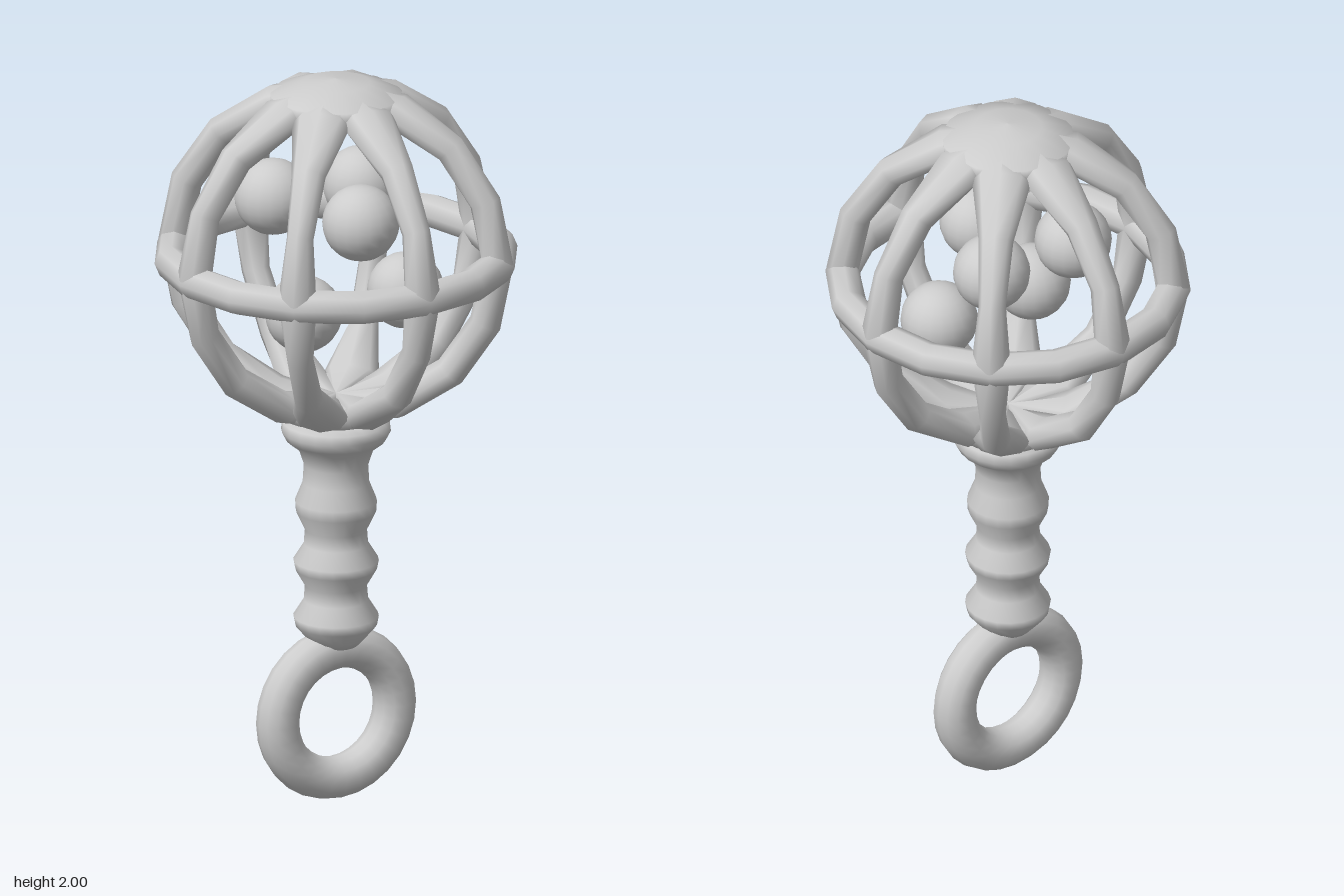
import * as THREE from 'three';

const CAGE_Y = 1.52, CAGE_R = 0.437, RIB_T = 0.043;

// Rib from pole to pole: elliptical sections whose half-width flares at the poles
function ribGeometry() {
  const widths = [0.005, 0.078, 0.046, 0.036, 0.052, 0.036, 0.04, 0.076, 0.005];
  const sides = 8, pos = [], index = [];
  widths.forEach((w, i) => {
    const th = (i / (widths.length - 1)) * Math.PI;
    for (let j = 0; j < sides; j++) {
      const a = (j / sides) * Math.PI * 2;
      const r = CAGE_R + RIB_T * Math.cos(a);
      pos.push(r * Math.sin(th), r * Math.cos(th), w * Math.sin(a));
    }
  });
  for (let i = 0; i < widths.length - 1; i++) {
    for (let j = 0; j < sides; j++) {
      const k = (j + 1) % sides;
      const a = i * sides + j, b = i * sides + k;
      index.push(a, b, b + sides, a, b + sides, a + sides);
    }
  }
  const g = new THREE.BufferGeometry();
  g.setAttribute('position', new THREE.Float32BufferAttribute(pos, 3));
  g.setIndex(index);
  g.computeVertexNormals();
  return g;
}

// Thick spherical cap that joins the ribs at a pole
function capGeometry(angle) {
  const p = (r, t) => new THREE.Vector2(r * Math.sin(t), r * Math.cos(t));
  const inner = CAGE_R - RIB_T + 0.01, outer = CAGE_R + RIB_T;
  return new THREE.LatheGeometry([
    p(inner, 0), p(inner, angle * 0.5), p(inner + 0.01, angle),
    p(CAGE_R, angle * 1.08), p(outer - 0.008, angle),
    p(outer - 0.002, angle * 0.5), p(outer, 0),
  ], 16);
}

export function createModel() {
  const model = new THREE.Group();
  model.name = 'rattle';
  const grey = new THREE.MeshStandardMaterial({ color: 0xcccccc });
  grey.name = 'light grey';

  const add = (parent, name, geometry, x = 0, y = 0, z = 0) => {
    const mesh = new THREE.Mesh(geometry, grey);
    mesh.name = name;
    mesh.position.set(x, y, z);
    parent.add(mesh);
    return mesh;
  };

  // Grip ring
  add(model, 'gripRing', new THREE.TorusGeometry(0.18, 0.057, 12, 28), 0, 0.24, 0);

  // Handle with three beads and a collar
  const profile = [
    [0, 0.425], [0.06, 0.43], [0.078, 0.45], [0.108, 0.485], [0.113, 0.51],
    [0.085, 0.555], [0.082, 0.595], [0.108, 0.64], [0.113, 0.665],
    [0.085, 0.71], [0.082, 0.75], [0.106, 0.8], [0.108, 0.83],
    [0.088, 0.88], [0.085, 0.93], [0.1, 0.975], [0.132, 1.0],
    [0.145, 1.025], [0.142, 1.05], [0.12, 1.062], [0, 1.07],
  ].map(([r, y]) => new THREE.Vector2(r, y));
  add(model, 'handle', new THREE.LatheGeometry(profile, 20));

  // Cage: eight ribs, a belt and two pole caps
  const cage = new THREE.Group();
  cage.name = 'cage';
  cage.position.y = CAGE_Y;
  model.add(cage);
  const rib = ribGeometry();
  for (let i = 0; i < 8; i++) {
    add(cage, 'cageRib', rib).rotation.y = (i * Math.PI) / 4;
  }
  const belt = new THREE.TorusGeometry(CAGE_R, RIB_T + 0.003, 8, 16);
  belt.rotateX(Math.PI / 2);
  add(cage, 'cageBelt', belt, 0, -0.01, 0);
  add(cage, 'topCap', capGeometry(0.38));
  add(cage, 'bottomCap', capGeometry(0.36)).rotation.x = Math.PI;

  // Loose balls inside the cage
  const ball = new THREE.SphereGeometry(0.102, 20, 14);
  for (const [x, y, z] of [
    [-0.115, 1.655, -0.13], [0.145, 1.65, -0.11], [0, 1.635, 0.125],
    [-0.155, 1.4, 0.09], [0.16, 1.41, 0.09],
  ]) add(model, 'ball', ball, x, y, z);

  return model;
}
